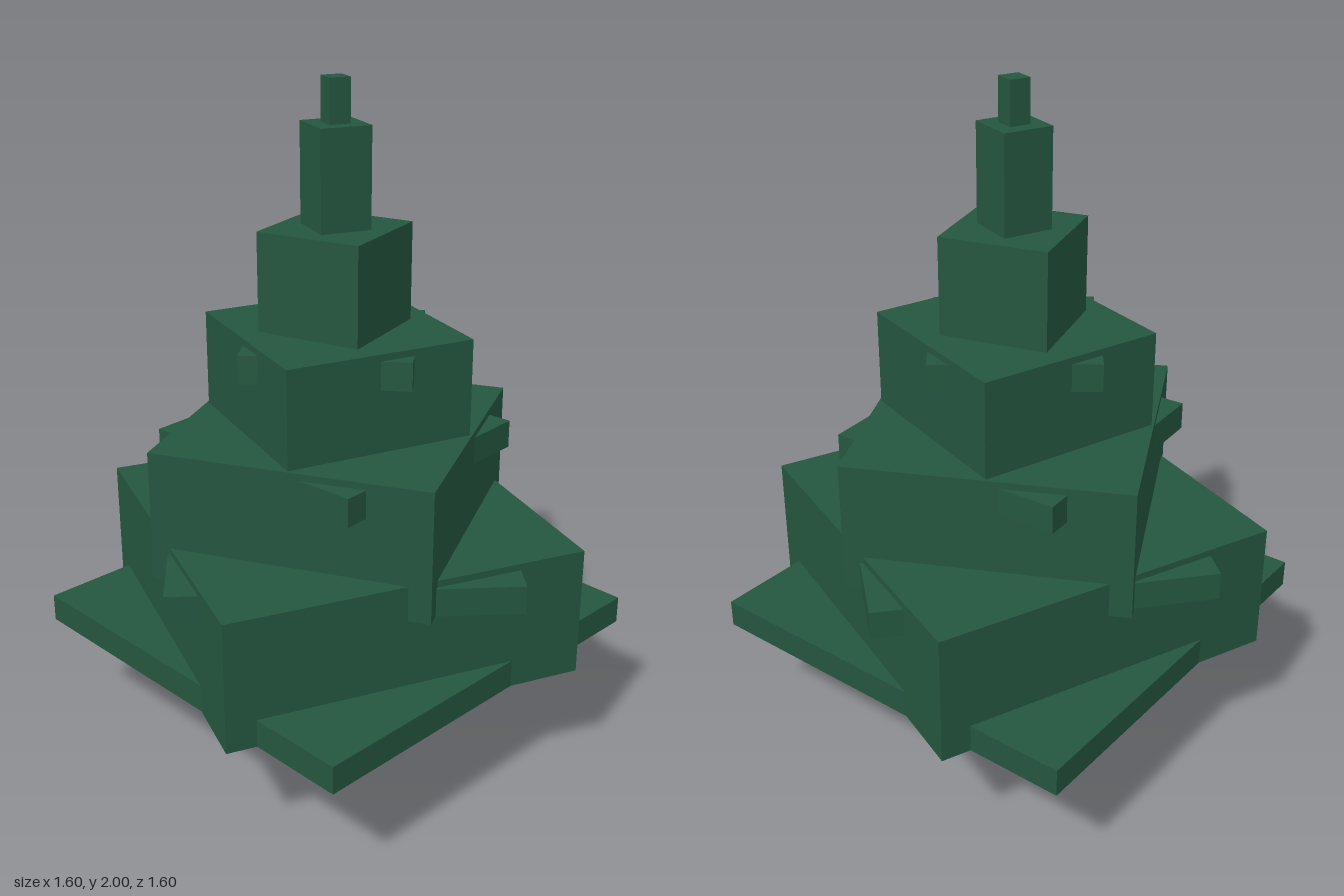
import * as THREE from 'three';

const green = new THREE.MeshStandardMaterial({ color: 0x24563f });
green.name = 'pine green';
const brown = new THREE.MeshStandardMaterial({ color: 0x583c24 });
brown.name = 'bark brown';

// Square block about the y axis, from y0 to y1, turned so one corner sits at (cx, cz)
function block(name, material, y0, y1, cx, cz) {
  const side = Math.hypot(cx, cz) * Math.SQRT2;
  const mesh = new THREE.Mesh(new THREE.BoxGeometry(side, y1 - y0, side), material);
  mesh.position.y = (y0 + y1) / 2;
  mesh.rotation.y = Math.PI / 4 - Math.atan2(cz, cx);
  mesh.name = name;
  return mesh;
}

export function createModel() {
  const tree = new THREE.Group();
  tree.name = 'blockyPineTree';

  tree.add(block('trunk', brown, 0, 0.345, 0.095, 0.097));

  // Tiers of foliage, bottom to top: thin branch slabs poke out of thick blocks
  const foliage = [
    ['branchSlab1', 0.34, 0.423, 0.8, 0.348],
    ['foliageBlock1', 0.34, 0.73, 0.531, 0.541],
    ['branchSlab2', 0.626, 0.71, 0.627, -0.297],
    ['foliageBlock2', 0.626, 1.016, 0.579, -0.032],
    ['branchSlab3', 0.913, 0.996, 0.486, 0.172],
    ['foliageBlock3', 0.913, 1.303, 0.301, 0.268],
    ['branchSlab4', 1.2, 1.283, 0.328, -0.086],
    ['foliageBlock4', 1.2, 1.59, 0.223, 0.03],
    ['foliageBlock5', 1.486, 1.876, 0.075, 0.075],
    ['treeTip', 1.8, 2, 0.031, 0.031],
  ];
  for (const [name, y0, y1, cx, cz] of foliage) tree.add(block(name, green, y0, y1, cx, cz));

  return tree;
}
